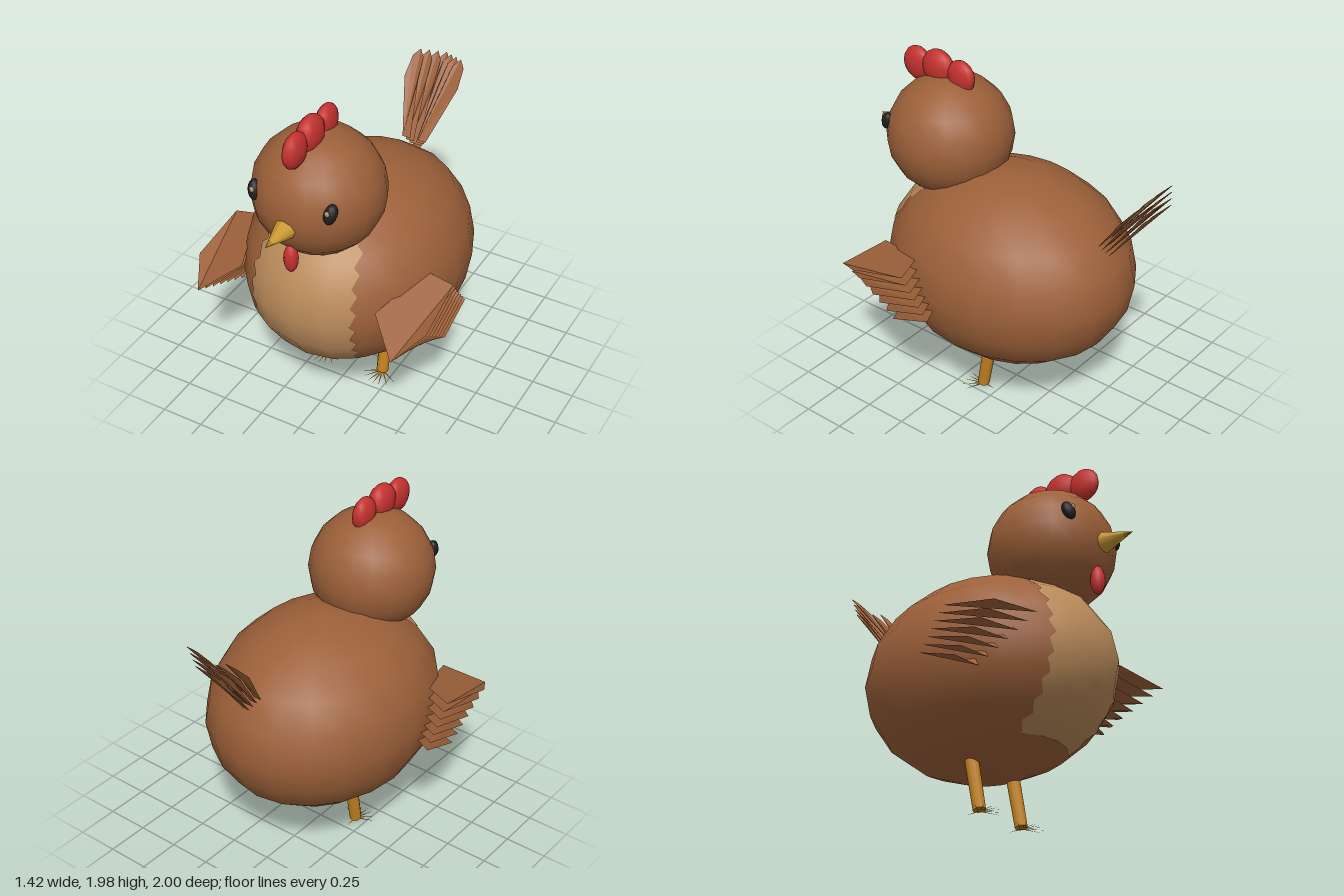
import * as THREE from 'three';

const mat = (name, color, side = THREE.FrontSide) => {
  const m = new THREE.MeshStandardMaterial({ color, side });
  m.name = name;
  return m;
};
const lerp = THREE.MathUtils.lerp;

// Body ellipsoid: 20 columns by 10 rings
const BODY = { c: [0, 0.828, 0.037], r: [0.62, 0.572, 0.753] };
const STEP = 18;

// Point on the faceted body, from latitude and longitude in degrees (0 = front)
function bodyPoint(lat, lon) {
  const corner = (a, b) => new THREE.Vector3().setFromSphericalCoords(
    1, THREE.MathUtils.degToRad(90 - a), THREE.MathUtils.degToRad(b));
  const a = Math.floor(lat / STEP) * STEP, b = Math.floor(lon / STEP) * STEP;
  const u = (lon - b) / STEP, v = (lat - a) / STEP;
  const low = corner(a, b).lerp(corner(a, b + STEP), u);
  return low.lerp(corner(a + STEP, b).lerp(corner(a + STEP, b + STEP), u), v);
}

// Ragged chest patch lying just above the body facets
function chestGeometry() {
  const pos = [], nor = [], idx = [], rows = 30, cols = 5;
  for (let i = 0; i <= rows; i++) {
    const lat = -54 + 3.6 * i;
    const ring = Math.cos(THREE.MathUtils.degToRad(lat));
    const half = 0.315 - 0.09 * (lat / 54) ** 2 + (i % 3 - 1) * 0.014;
    const edge = THREE.MathUtils.radToDeg(Math.asin(Math.min(0.95, half / (0.62 * ring))));
    [-edge, -Math.min(edge, STEP), 0, Math.min(edge, STEP), edge].forEach((lon) => {
      // keep columns on the facet creases, also where the patch is wider than two facets
      const p = bodyPoint(lat, lon);
      const k = 1.007;
      pos.push(...p.toArray().map((q, j) => q * k * BODY.r[j] + BODY.c[j]));
      const n = new THREE.Vector3(p.x / BODY.r[0], p.y / BODY.r[1], p.z / BODY.r[2]).normalize();
      nor.push(n.x, n.y, n.z);
    });
    if (i < rows) for (let j = 0; j < cols - 1; j++) {
      const a = i * cols + j, b = a + cols;
      idx.push(a, a + 1, b, a + 1, b + 1, b);
    }
  }
  const g = new THREE.BufferGeometry();
  g.setAttribute('position', new THREE.Float32BufferAttribute(pos, 3));
  g.setAttribute('normal', new THREE.Float32BufferAttribute(nor, 3));
  g.setIndex(idx);
  return g;
}

// Flat plates from convex outlines, each filled as a fan
function plates(outlines) {
  const pos = [];
  for (const o of outlines)
    for (let i = 1; i < o.length - 1; i++) pos.push(...o[0], ...o[i], ...o[i + 1]);
  const g = new THREE.BufferGeometry();
  g.setAttribute('position', new THREE.Float32BufferAttribute(pos, 3));
  g.computeVertexNormals();
  return g;
}

export function createModel() {
  const model = new THREE.Group();
  model.name = 'chicken';
  const brown = mat('brown plumage', 0x9c6039);
  const feather = mat('brown feathers', 0x9c6039, THREE.DoubleSide);
  const tan = mat('tan chest', 0xb98a5a);
  const red = mat('red comb', 0xc4322f);
  const yellow = mat('yellow beak', 0xcb9a2f);
  const amber = mat('amber legs', 0xc4821f, THREE.DoubleSide);
  const black = mat('black eye', 0x221e20);
  const glint = mat('eye glint', 0xb09478);

  const add = (name, geometry, material) => {
    const m = new THREE.Mesh(geometry, material);
    m.name = name;
    model.add(m);
    return m;
  };
  const ball = (name, c, r, material, w = 12, h = 8) => {
    const m = add(name, new THREE.SphereGeometry(1, w, h), material);
    m.position.set(...c);
    m.scale.set(...r);
    return m;
  };

  // Body, chest and head
  ball('body', BODY.c, BODY.r, brown, 20, 10);
  add('chest', chestGeometry(), tan);
  ball('head', [0, 1.495, 0.468], [0.362, 0.352, 0.362], brown, 20, 10);

  // Comb and wattle
  ball('combFront', [0, 1.855, 0.695], [0.05, 0.1, 0.098], red);
  ball('combMiddle', [0, 1.87, 0.545], [0.062, 0.106, 0.108], red);
  ball('combBack', [0, 1.858, 0.385], [0.05, 0.098, 0.092], red);
  ball('wattle', [0, 1.23, 0.765], [0.04, 0.085, 0.042], red);

  // Beak
  const beak = add('beak', new THREE.ConeGeometry(0.072, 0.22, 8), yellow);
  beak.rotation.x = Math.PI / 2;
  beak.position.set(0, 1.45, 0.89);

  // Tail: a fan of seven feathers cupped forward at the sides
  const tail = [];
  for (let i = -3; i <= 3; i++) {
    const t = i / 3, q = Math.abs(t), z = -0.02 * (i % 2);
    const base = [0.05 * t, 1.11 + 0.07 * q, -0.635 + 0.035 * q];
    const mid = [0.125 * t, 1.42 + 0.04 * q, -0.86 + 0.06 * q + z * 0.3];
    const tip = [0.13 * t, 1.565 + 0.025 * q, -1.0 + 0.08 * q];
    const w = 0.045;
    tail.push([
      [base[0] - 0.025, base[1], base[2]], [mid[0] - w, mid[1], mid[2]],
      [tip[0] - 0.035, tip[1] - 0.035, tip[2] + 0.035], tip,
      [tip[0] + 0.035, tip[1] - 0.035, tip[2] + 0.035],
      [mid[0] + w, mid[1], mid[2]], [base[0] + 0.025, base[1], base[2]],
    ]);
  }
  add('tail', plates(tail), feather);

  // Top and bottom wing feather: tip, inner front, inner back, outer back, outer front
  const topFeather = [[0.6, 0.79, 0.79], [0.415, 0.92, 0.62], [0.53, 1.01, 0.27],
    [0.69, 0.96, 0.25], [0.71, 0.88, 0.6]];
  const lowFeather = [[0.575, 0.615, 0.4], [0.53, 0.69, 0.34], [0.56, 0.755, 0.13],
    [0.685, 0.74, 0.08], [0.69, 0.655, 0.33]];

  for (const s of [1, -1]) {
    const side = s > 0 ? 'left' : 'right';

    // Wing of seven stacked feathers
    const wing = [];
    for (let i = 0; i < 7; i++)
      wing.push(topFeather.map((p, k) => p.map((v, j) => lerp(v, lowFeather[k][j], i / 6) * (j ? 1 : s))));
    add(side + 'Wing', plates(wing), feather);

    // Eye with glint
    const eye = ball(side + 'Eye', [s * 0.225, 1.57, 0.737], [0.036, 0.057, 0.034], black);
    eye.rotation.set(-0.2, s * 0.6, s * -0.2);
    ball(side + 'EyeGlint', [s * 0.221, 1.588, 0.767], [0.016, 0.018, 0.01], glint, 6, 4);

    // Leg, leaning forward towards the foot
    const leg = add(side + 'Leg', new THREE.CylinderGeometry(0.039, 0.035, 0.35, 10), amber);
    leg.position.set(s * 0.185, 0.185, 0.071);
    leg.rotation.x = -0.18;

    // Sliver toes flat on the ground
    const toes = [];
    for (const a of [-1.1, -0.7, -0.3, 0, 0.3, 0.7, 1.1, Math.PI]) {
      const dx = Math.sin(a), dz = Math.cos(a), x = s * 0.185, z = 0.1;
      const len = a > 3 ? 0.08 : 0.13;
      toes.push([[x - dz * 0.006, 0.006, z + dx * 0.006], [x + dz * 0.006, 0.006, z - dx * 0.006],
        [x + dx * len, 0, z + dz * len]]);
    }
    add(side + 'Toes', plates(toes), amber);
  }
  return model;
}
